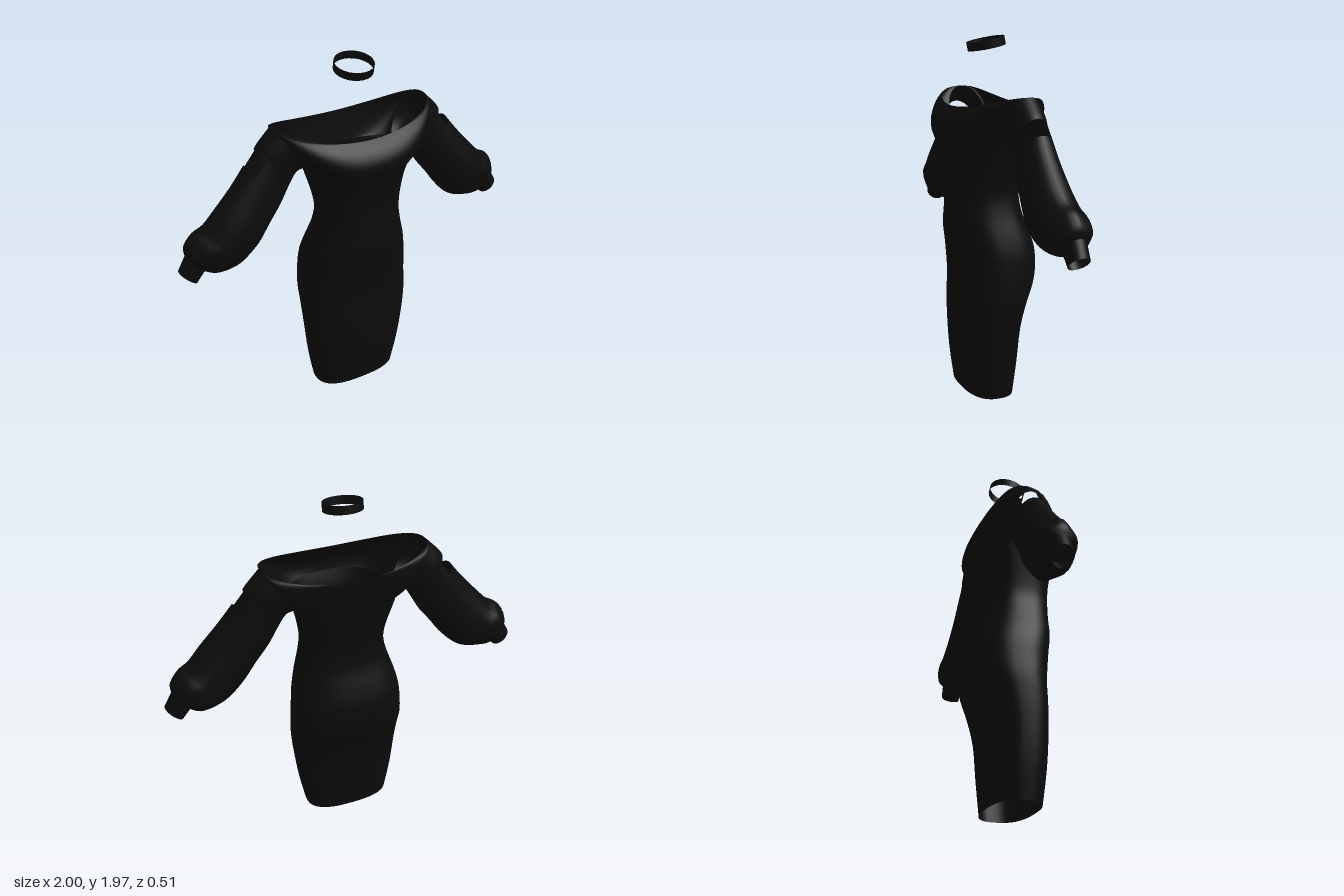
import * as THREE from 'three';
import { mergeGeometries, mergeVertices } from 'three/addons/utils/BufferGeometryUtils.js';

const blackFabric = new THREE.MeshStandardMaterial({ color: 0x0b0b0b, side: THREE.DoubleSide });
blackFabric.name = 'black fabric';

// Smoothly resample a table of rows, `steps` samples per interval
function resample(table, steps) {
  const cr = (a, b, c, d, t) =>
    b + 0.5 * t * (c - a + t * (2 * a - 5 * b + 4 * c - d + t * (3 * (b - c) + d - a)));
  const last = table.length - 1, out = [];
  for (let k = 0; k <= last * steps; k++) {
    const i = Math.min(Math.floor(k / steps), last - 1), t = k / steps - i;
    const at = (j) => table[Math.max(0, Math.min(last, j))];
    out.push(table[0].map((_, c) => cr(at(i - 1)[c], at(i)[c], at(i + 1)[c], at(i + 2)[c], t)));
  }
  return out;
}

// Skin a list of point rows; skip(i, j) leaves a quad open
function skin(rows, skip = () => false) {
  const w = rows[0].length, index = [];
  for (let i = 0; i < rows.length - 1; i++) {
    for (let j = 0; j < w - 1; j++) {
      if (skip(i, j)) continue;
      const a = i * w + j, b = a + 1, c = a + w, d = c + 1;
      index.push(a, b, d, a, d, c);
    }
  }
  const g = new THREE.BufferGeometry();
  g.setAttribute('position', new THREE.Float32BufferAttribute(rows.flat(2), 3));
  g.setIndex(index);
  return g;
}

function finish(geometries) {
  const g = mergeVertices(mergeGeometries(geometries), 1e-4);
  g.computeVertexNormals();
  return g;
}

function mesh(name, geometry) {
  const m = new THREE.Mesh(geometry, blackFabric);
  m.name = name;
  return m;
}

// Half of a rounded cross-section, from one side edge to the other
function panelRow({ yc, ye, xc, xe, zc, ze, n }, front) {
  const row = [];
  for (let j = 0; j <= 28; j++) {
    const a = Math.PI * (1 - j / 28), c = Math.cos(a);
    const s = Math.sign(c) * Math.abs(c) ** (2 / n) * (front ? 1 : -1);
    const f = Math.max(0, Math.sin(a)) ** (2 / n);
    row.push([xc + s * xe, ye + (yc - ye) * (1 - s * s), ze + (zc - ze) * f]);
  }
  return row;
}

// height, centre x, half width, front z, back z, side z
const BODY = [
  [0.01, -0.02, 0.25, 0.135, -0.13, 0],
  [0.2, -0.017, 0.283, 0.158, -0.145, 0],
  [0.4, -0.013, 0.305, 0.168, -0.16, 0],
  [0.55, -0.01, 0.315, 0.168, -0.2, -0.01],
  [0.65, -0.01, 0.315, 0.166, -0.24, -0.025],
  [0.75, -0.008, 0.308, 0.175, -0.255, -0.03],
  [0.85, -0.007, 0.297, 0.187, -0.248, -0.025],
  [0.95, -0.005, 0.272, 0.203, -0.215, -0.01],
  [1.05, -0.002, 0.242, 0.202, -0.178, 0.005],
  [1.15, 0, 0.225, 0.203, -0.165, 0.01],
  [1.25, 0, 0.237, 0.205, -0.174, 0],
  [1.35, 0, 0.26, 0.223, -0.186, -0.03],
  [1.43, 0, 0.28, 0.252, -0.192, -0.05],
];
// front and back z at the middle of the yoke, from armpit to neckline
const YOKE = [[0.252, -0.192], [0.26, -0.198], [0.25, -0.203], [0.222, -0.208], [0.18, -0.213]];

// Fitted body plus yoke panels that end on the armhole ovals
function dressBody() {
  const parts = [];
  const body = resample(BODY, 3), yoke = resample(YOKE, 4), count = 16;
  for (const front of [true, false]) {
    const rows = body.map(([y, xc, xe, zf, zb, ze]) =>
      panelRow({ yc: y, ye: y, xc, xe, zc: front ? zf : zb, ze, n: 2.6 }, front));
    for (let i = 1; i <= count; i++) {
      const a = Math.PI * i / count, t = (1 - Math.cos(a)) / 2;
      const k = t * (yoke.length - 1), lo = Math.min(Math.floor(k), yoke.length - 2), c = front ? 0 : 1;
      rows.push(panelRow({
        yc: 1.43 + 0.18 * t, ye: 1.43 + 0.25 * t, xc: 0, xe: 0.28 + 0.17 * t,
        zc: THREE.MathUtils.lerp(yoke[lo][c], yoke[lo + 1][c], k - lo),
        ze: -0.05 + (front ? 0.105 : -0.105) * Math.sin(a),
        n: 2.6 - 0.5 * t,
      }, front));
    }
    parts.push(skin(rows));
  }
  return finish(parts);
}

// outer x, y; under x, y; back z, front z
const SLEEVE = [
  [0.45, 1.68, 0.28, 1.43, -0.155, 0.055],
  [0.515, 1.615, 0.33, 1.42, -0.15, 0.045],
  [0.54, 1.585, 0.38, 1.345, -0.145, 0.042],
  [0.6, 1.51, 0.43, 1.26, -0.15, 0.05],
  [0.68, 1.41, 0.5, 1.17, -0.155, 0.063],
  [0.78, 1.3, 0.57, 1.075, -0.165, 0.075],
  [0.85, 1.225, 0.65, 1.0, -0.175, 0.072],
  [0.91, 1.19, 0.72, 0.965, -0.18, 0.06],
  [0.955, 1.13, 0.8, 0.957, -0.168, 0.035],
  [0.955, 1.08, 0.865, 0.98, -0.125, -0.005],
];
const CUFF = [
  [0.955, 1.08, 0.865, 0.98, -0.125, -0.005],
  [1.0, 1.0, 0.912, 0.922, -0.12, -0.01],
];
const SIDES = 32, STEPS = 4;

// Oval ring around a sleeve; gather adds soft folds
function sleeveRing([ox, oy, ux, uy, zb, zf], side, gather) {
  const row = [];
  for (let j = 0; j <= SIDES; j++) {
    const a = side * 2 * Math.PI * (j % SIDES) / SIDES;
    const r = 1 + gather * Math.sin(6 * a + 1);
    const c = Math.cos(a) * r / 2, s = Math.sin(a) * r / 2;
    row.push([
      side * ((ox + ux) / 2 + c * (ox - ux)),
      (oy + uy) / 2 + c * (oy - uy),
      (zb + zf) / 2 + s * (zf - zb),
    ]);
  }
  return row;
}

// Puffed sleeve with a small shoulder opening
function sleeve(side) {
  const rows = resample(SLEEVE, STEPS).map((r, i) => {
    const u = i / STEPS;
    const gather = u > 5 && u < 9 ? 0.035 * Math.sin(Math.PI * (u - 5) / 4) : 0;
    return sleeveRing(r, side, gather);
  });
  const opening = (i, j) => i >= 2 * STEPS && i < 3 * STEPS && (j < 4 || j >= SIDES - 4);
  return finish([skin(rows, opening)]);
}

export function createModel() {
  const model = new THREE.Group();
  model.name = 'off-shoulder dress';
  model.add(mesh('dressBody', dressBody()));

  for (const [side, label] of [[1, 'left'], [-1, 'right']]) {
    const arm = new THREE.Group();
    arm.name = label + 'Arm';
    arm.add(mesh(label + 'Sleeve', sleeve(side)));
    arm.add(mesh(label + 'Cuff', finish([skin(CUFF.map((r) => sleeveRing(r, side, 0)))])));
    model.add(arm);
  }

  // Neck band, higher at the back
  const choker = mesh('choker', new THREE.CylinderGeometry(0.103, 0.103, 0.045, 24, 1, true));
  choker.position.set(0, 1.933, -0.012);
  choker.rotation.x = 0.2;
  model.add(choker);
  return model;
}
